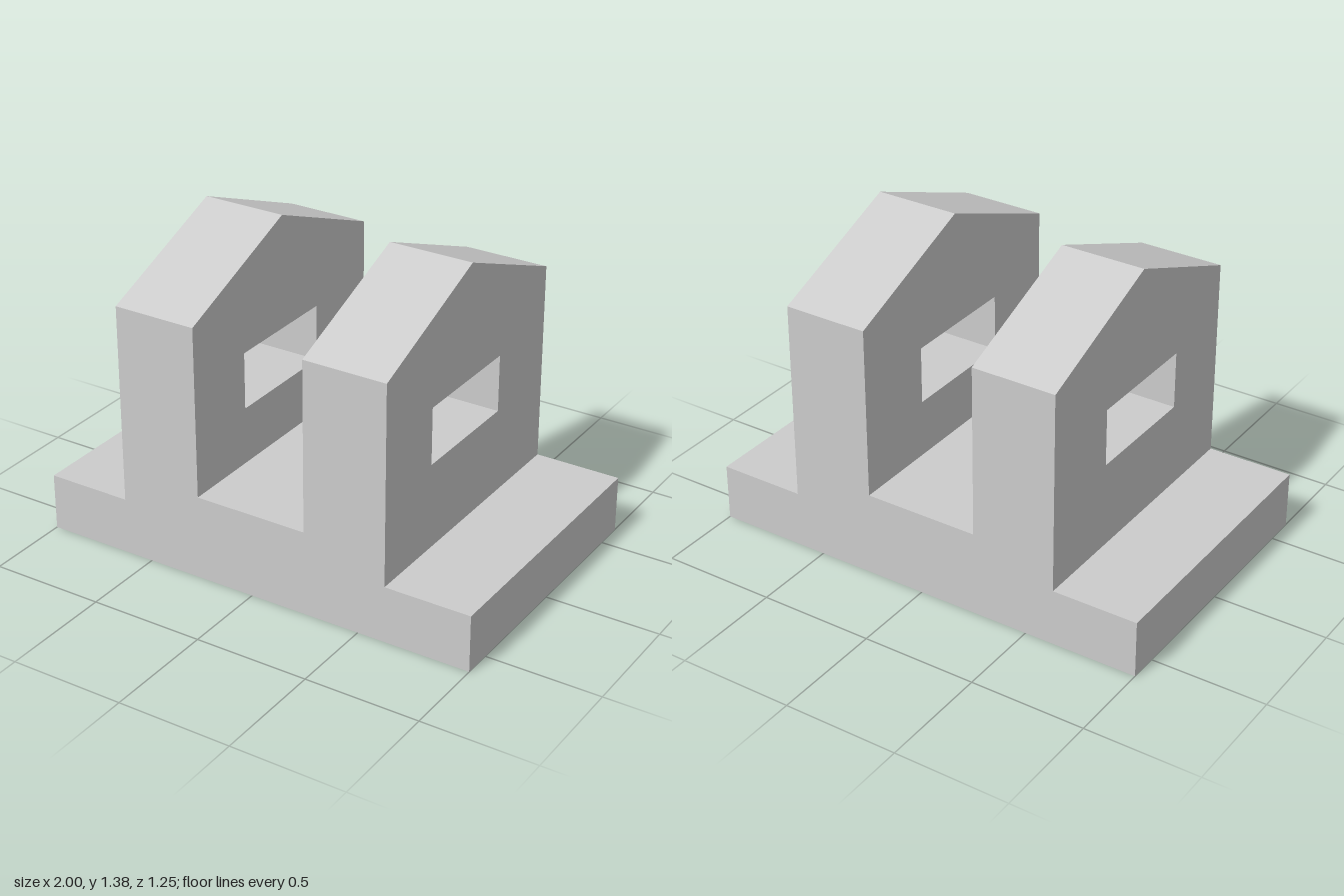
import * as THREE from 'three';

const material = new THREE.MeshStandardMaterial({ color: 0xcccccc, flatShading: true });
const DEPTH = 1.25, HALF = DEPTH / 2;
const BASE_TOP = 0.25, FLOOR_TOP = 0.375, EAVES = 1.125, RIDGE = 1.375;

function add(group, name, geometry, x, y) {
  const mesh = new THREE.Mesh(geometry, material);
  mesh.name = name;
  mesh.position.set(x, y, 0);
  group.add(mesh);
}

// Gabled slab with a rectangular window, drawn in (-z, y) and extruded along +x
function gableWall(thickness) {
  const shape = new THREE.Shape([
    [-HALF, BASE_TOP], [HALF, BASE_TOP], [HALF, EAVES], [0, RIDGE], [-HALF, EAVES],
  ].map(([x, y]) => new THREE.Vector2(x, y)));
  shape.holes.push(new THREE.Path([
    [-0.283, 0.625], [-0.283, 0.875], [0.25, 0.875], [0.25, 0.625],
  ].map(([x, y]) => new THREE.Vector2(x, y))));
  return new THREE.ExtrudeGeometry(shape, { depth: thickness, bevelEnabled: false })
    .rotateY(Math.PI / 2);
}

export function createModel() {
  const model = new THREE.Group();
  model.name = 'gabledBracket';

  // Base plate
  add(model, 'basePlate', new THREE.BoxGeometry(2, BASE_TOP, DEPTH), 0, BASE_TOP / 2);

  // Twin gable walls
  const leftInner = 0.25, rightInner = -0.255, thickness = 0.37;
  add(model, 'leftWall', gableWall(thickness), leftInner, 0);
  add(model, 'rightWall', gableWall(thickness), rightInner - thickness, 0);

  // Raised floor between the walls
  add(model, 'raisedFloor',
    new THREE.BoxGeometry(leftInner - rightInner, FLOOR_TOP - BASE_TOP, DEPTH),
    (leftInner + rightInner) / 2, (BASE_TOP + FLOOR_TOP) / 2);

  return model;
}
